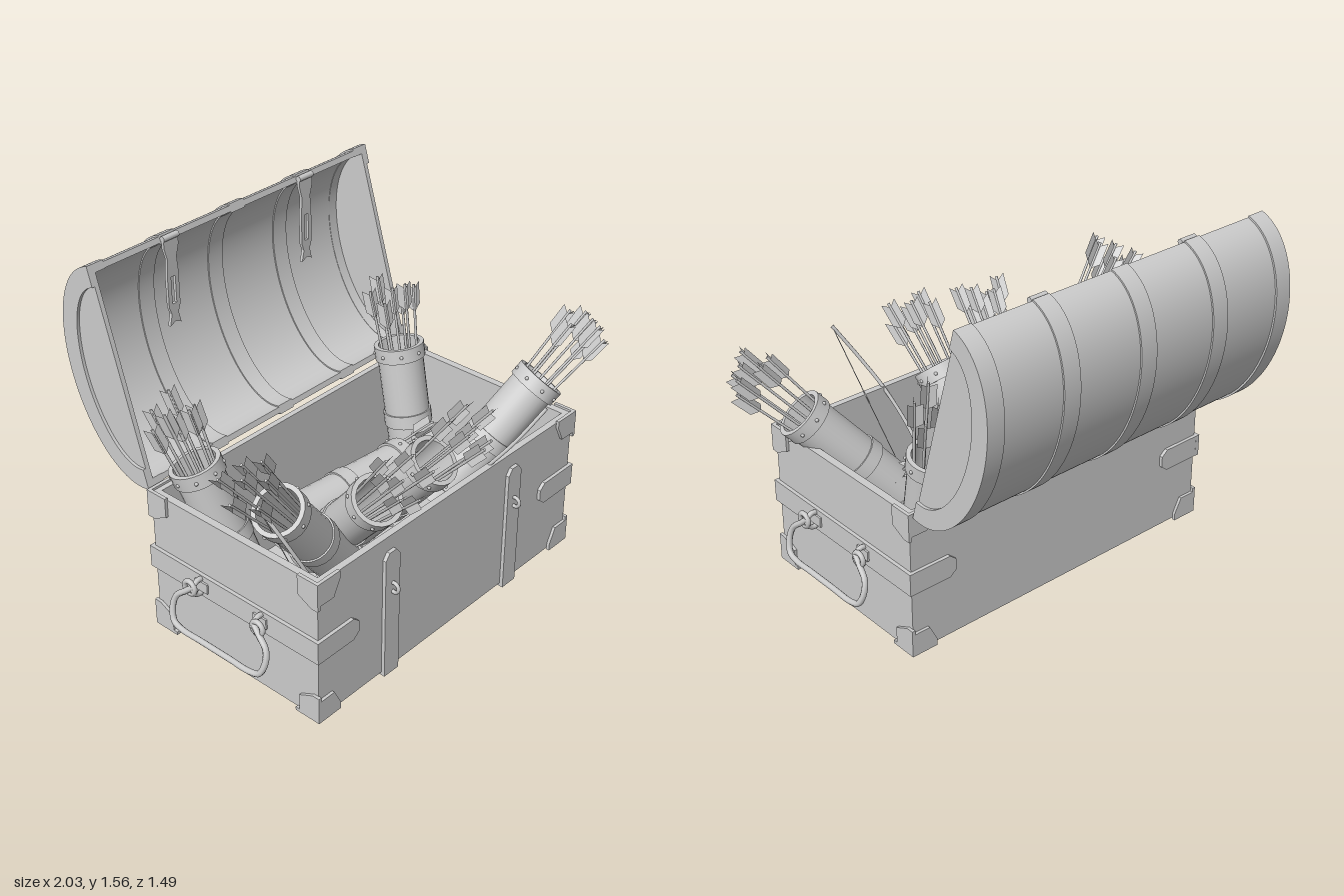
import * as THREE from 'three';
import { mergeGeometries, toCreasedNormals } from 'three/addons/utils/BufferGeometryUtils.js';

const grey = new THREE.MeshStandardMaterial({ color: 0xcccccc });
const thin = new THREE.MeshStandardMaterial({ color: 0xcccccc, side: THREE.DoubleSide });
const V = (x, y, z) => new THREE.Vector3(x, y, z);
const CX = -0.012;                        // middle of the chest in x
const STRAPS = [-0.395, 0.37];            // front strap positions

function add(parent, name, geo, x = 0, y = 0, z = 0, mat = grey) {
  const m = new THREE.Mesh(geo, mat);
  m.name = name;
  m.position.set(x, y, z);
  parent.add(m);
  return m;
}
const box = (w, h, d) => new THREE.BoxGeometry(w, h, d);
const poly = (pts) => new THREE.Shape(pts.map((p) => new THREE.Vector2(p[0], p[1])));
const extrude = (shape, depth, curveSegments = 32) =>
  toCreasedNormals(new THREE.ExtrudeGeometry(shape, { depth, bevelEnabled: false, curveSegments }), 0.5);
const tube = (pts, r, seg = 40) => new THREE.TubeGeometry(new THREE.CatmullRomCurve3(pts), seg, r, 8);
const lathe = (pts) => toCreasedNormals(
  new THREE.LatheGeometry(pts.map((p) => new THREE.Vector2(p[0], p[1])), 24), 0.6);
const ring = (r0, r1, y0, y1) => lathe([[r0, y0], [r1, y0], [r1, y1], [r0, y1], [r0, y0]]);

// Three chamfered plates meeting at a corner; local axes point into the chest
function cornerCap(parent, sx, sy, sz, y, z) {
  const g = new THREE.Group();
  g.name = 'cornerCap';
  const t = 0.013;
  const plate = extrude(poly([[-t, -t], [0.11, -t], [0.11, 0.02], [0.075, 0.09], [-t, 0.09]]), t + 0.002);
  plate.translate(0, 0, -t);
  const ex = V(1, 0, 0), ey = V(0, 1, 0), ez = V(0, 0, 1);
  const turns = [[ex, ey, ez], [ey, ez, ex], [ez, ex, ey]];
  turns.forEach((b, i) => {
    if (i === 2 && sy < 0) return;        // the top stays open
    const m = new THREE.Matrix4().makeBasis(...b);
    add(g, 'cornerPlate', plate.clone().applyMatrix4(m));
  });
  g.position.set(CX - sx * 0.788, y, z);
  g.scale.set(sx, sy, sz);
  parent.add(g);
}

function makeChest() {
  const g = new THREE.Group();
  g.name = 'chest';
  // Walls and floor
  const outline = poly([[-0.788, -0.595], [0.788, -0.595], [0.788, 0.29], [-0.788, 0.29]]);
  outline.holes.push(new THREE.Path([[-0.755, -0.565], [-0.755, 0.265], [0.755, 0.265], [0.755, -0.565]]
    .map((p) => new THREE.Vector2(p[0], p[1]))));
  const walls = extrude(outline, 0.645);
  walls.rotateX(-Math.PI / 2);
  add(g, 'walls', walls, CX, 0.035, 0);
  add(g, 'floor', box(1.56, 0.035, 0.87), CX, 0.053, 0.152);
  for (const sx of [1, -1]) {
    for (const sz of [1, -1]) {
      const z = sz > 0 ? -0.29 : 0.595;
      cornerCap(g, sx, 1, sz, 0.038, z);
      cornerCap(g, sx, -1, sz, 0.677, z);
    }
  }
  // Front straps folded under the floor, each with a staple
  for (const x of STRAPS) {
    const strap = poly([[-0.042, 0.02], [0.042, 0.02], [0.042, 0.585], [0.02, 0.615], [-0.02, 0.615], [-0.042, 0.585]]);
    add(g, 'frontStrap', extrude(strap, 0.018), x, 0, 0.593);
    add(g, 'bottomStrap', box(0.084, 0.016, 0.45), x, 0.028, 0.386);
    add(g, 'staple', new THREE.TorusGeometry(0.022, 0.008, 8, 20), x, 0.445, 0.618).rotation.y = Math.PI / 2;
  }
  // Side straps with pointed ends, and carrying handles
  for (const s of [1, -1]) {
    const side = new THREE.Group();
    side.name = 'sideFittings';
    side.position.x = CX;
    side.scale.x = s;
    add(side, 'sideStrap', box(0.02, 0.1, 0.915), 0.794, 0.37, 0.152);
    const end = extrude(poly([[0.804, 0.32], [0.804, 0.42], [0.605, 0.42], [0.575, 0.395], [0.575, 0.345], [0.605, 0.32]]), 0.02);
    add(side, 'strapEndFront', end, 0, 0, 0.59);
    add(side, 'strapEndBack', end, 0, 0, -0.305);
    const half = [[0.165, 0.01], [0.2, -0.02], [0.245, -0.06], [0.255, -0.11], [0.235, -0.165], [0.185, -0.18], [0.08, -0.18]];
    const path = [...half, ...half.slice().reverse().map(([z, y]) => [-z, y])]
      .map(([z, y]) => V(0.85 - y * 0.27, 0.375 + y, 0.152 + z));
    add(side, 'handle', tube(path, 0.013, 80));
    for (const e of [1, -1]) {
      add(side, 'handleEye', new THREE.TorusGeometry(0.028, 0.011, 8, 20), 0.847, 0.375, 0.152 + e * 0.185).rotation.y = Math.PI / 2;
      add(side, 'handleStaple', new THREE.TorusGeometry(0.034, 0.011, 8, 20), 0.815, 0.372, 0.152 + e * 0.165);
      add(side, 'staplePlate', box(0.012, 0.045, 0.07), 0.806, 0.372, 0.152 + e * 0.16);
    }
    g.add(side);
  }
  return g;
}

// Half-elliptical lid; local x runs along the opening, local y outward
function arch(grow, wall) {
  const a = 0.455 + grow, b = 0.28 + grow;
  const s = new THREE.Shape();
  s.moveTo(a, 0);
  s.absellipse(0, 0, a, b, 0, Math.PI, false);
  if (wall) {
    s.lineTo(-a + wall, 0);
    s.absellipse(0, 0, a - wall, b - wall, Math.PI, 0, true);
  }
  s.closePath();
  return s;
}

function makeLid() {
  const g = new THREE.Group();
  g.name = 'lid';
  const dir = V(0, 0.96, -0.282).normalize(), out = V(0, -dir.z, dir.y).negate();
  out.set(0, dir.z, -dir.y);
  const shell = new THREE.Group();
  shell.name = 'lidShell';
  shell.quaternion.setFromRotationMatrix(new THREE.Matrix4().makeBasis(dir, out, V(-1, 0, 0)));
  shell.position.set(CX, 1.1225, -0.44);
  add(shell, 'shell', extrude(arch(0, 0.025), 1.54, 40), 0, 0, -0.77);
  for (const x of [-0.385, 0, 0.385])
    add(shell, 'band', extrude(arch(0.007, 0.038), 0.08, 40), 0, 0, x - 0.04);
  for (const s of [1, -1]) {
    add(shell, 'endBand', extrude(arch(0.008, 0.035), 0.08, 40), 0, 0, s * 0.745 - 0.04);
    add(shell, 'endRim', extrude(arch(0.008, 0.085), 0.02, 40), 0, 0, s * 0.775 - 0.01);
    add(shell, 'endPanel', extrude(arch(-0.01, 0), 0.02, 40), 0, 0, s * 0.762 - 0.01);
  }
  g.add(shell);
  // Hasps hanging from the front edge
  for (const x of STRAPS) {
    const half = [[0.038, 0], [0.038, -0.05], [0.024, -0.1], [0.03, -0.17], [0.03, -0.31], [0.018, -0.345], [0.03, -0.395]];
    const s = poly([...half, [0, -0.38], ...half.slice().reverse().map(([a, b]) => [-a, b])].reverse());
    s.holes.push(new THREE.Path([[-0.011, -0.18], [0.011, -0.18], [0.011, -0.3], [-0.011, -0.3]]
      .map((p) => new THREE.Vector2(p[0], p[1]))));
    add(g, 'hasp', extrude(s, 0.014), x, 1.562, -0.558);
    add(g, 'haspHinge', new THREE.CylinderGeometry(0.013, 0.013, 0.08, 12), x, 1.553, -0.55).rotation.z = Math.PI / 2;
  }
  return g;
}

// One arrow along +y with three swept vanes at the end
function arrowGeometry(length) {
  const shaft = new THREE.CylinderGeometry(0.006, 0.006, length, 6);
  shaft.translate(0, length / 2, 0);
  const parts = [shaft];
  for (let i = 0; i < 3; i++) {
    const vane = new THREE.ShapeGeometry(poly([[0, -0.125], [0.036, -0.095], [0.036, 0.005], [0, -0.02]]));
    vane.translate(0, length, 0);
    vane.rotateY((i * Math.PI * 2) / 3);
    parts.push(vane);
  }
  return mergeGeometries(parts);
}

function makeQuiver(mouth, dir, reach, seed) {
  const L = 0.69;
  const g = new THREE.Group();
  g.name = 'quiver';
  const d = V(...dir).normalize();
  g.quaternion.setFromUnitVectors(V(0, 1, 0), d);
  g.position.set(...mouth).addScaledVector(d, -L);
  add(g, 'quiverBody', lathe([[0, 0], [0.098, 0], [0.1, L], [0.09, L], [0.088, 0.02], [0, 0.02]]));
  add(g, 'baseBand', ring(0.09, 0.108, -0.004, 0.07));
  add(g, 'middleBand', ring(0.094, 0.106, 0.32, 0.38));
  add(g, 'collar', ring(0.09, 0.11, L - 0.06, L + 0.003));
  for (let i = 0; i < 8; i++) {
    const a = (i * Math.PI) / 4;
    add(g, 'rivet', new THREE.SphereGeometry(0.008, 8, 6), 0.11 * Math.cos(a), L - 0.03, 0.11 * Math.sin(a));
  }
  // Fanned arrows, one in the middle
  for (let i = 0; i < 7; i++) {
    const a = (i * Math.PI * 2) / 6 + seed, r = i === 6 ? 0.01 : 1;
    const from = V(0.03 * r * Math.cos(a), 0.03, 0.03 * r * Math.sin(a));
    const top = L + reach - 0.035 * ((i * 2 + Math.round(seed * 5)) % 3);
    const to = V(0.095 * r * Math.cos(a), top, 0.095 * r * Math.sin(a));
    const arrow = add(g, 'arrow', arrowGeometry(from.distanceTo(to)), from.x, from.y, from.z, thin);
    arrow.quaternion.setFromUnitVectors(V(0, 1, 0), to.clone().sub(from).normalize());
  }
  return g;
}

function makeBow(points) {
  const g = new THREE.Group();
  g.name = 'bow';
  const p = points.map((q) => V(...q));
  add(g, 'bowLimb', tube(p, 0.008));
  add(g, 'bowString', new THREE.TubeGeometry(new THREE.LineCurve3(p[0], p[p.length - 1]), 1, 0.002, 5));
  return g;
}

export function createModel() {
  const model = new THREE.Group();
  model.name = 'arrowChest';
  model.add(makeChest(), makeLid());
  // Mouth position, direction and arrow reach of each quiver
  const quivers = [
    [[-0.67, 0.8, -0.175], [-0.2, 0.94, -0.26], 0.29],
    [[0.565, 0.81, -0.185], [0.03, 0.97, -0.2], 0.29],
    [[-0.71, 0.83, 0.315], [-0.62, 0.76, 0.09], 0.33],
    [[-0.305, 0.73, 0.45], [-0.15, 0.72, 0.63], 0.31],
    [[0.025, 0.75, 0.46], [0.05, 0.76, 0.62], 0.33],
    [[0.755, 0.8, 0.44], [0.59, 0.72, 0.32], 0.33],
    [[0.27, 0.46, 0.098], [0.68, 0, 0.062], 0.26],
  ];
  quivers.forEach(([mouth, dir, reach], i) => model.add(makeQuiver(mouth, dir, reach, 0.3 + i * 0.4)));
  model.add(
    makeBow([[0.37, 0.95, 0.74], [0.29, 0.8, 0.66], [0.235, 0.67, 0.57], [0.195, 0.48, 0.43], [0.215, 0.28, 0.28], [0.27, 0.1, 0.2]]),
    makeBow([[-0.83, 0.92, 0.33], [-0.77, 0.75, 0.42], [-0.66, 0.5, 0.48], [-0.53, 0.24, 0.45], [-0.44, 0.01, 0.38]]));
  return model;
}
